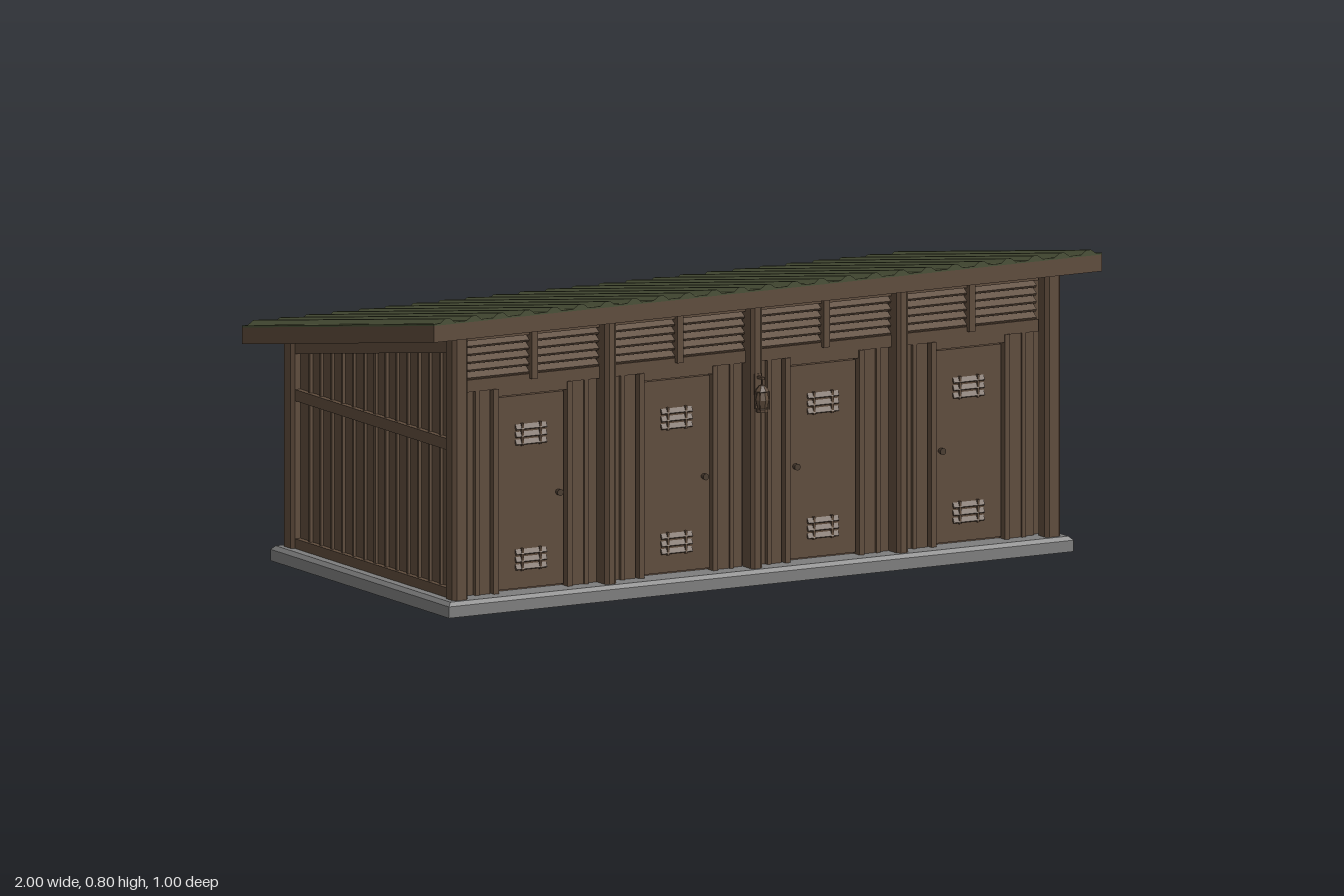
import * as THREE from 'three';

const SLOPE = 0.168;
const under = (z) => 0.656 + SLOPE * z; // height of the roof underside

export function createModel() {
  const model = new THREE.Group();
  model.name = 'washhouse';
  const mat = (name, color) => {
    const m = new THREE.MeshStandardMaterial({ color });
    m.name = name;
    return m;
  };
  const wood = mat('brown wood', 0x5f4c3c);
  const green = mat('green roofing', 0x4a5037);
  const concrete = mat('grey concrete', 0x7e7e7e);
  const iron = mat('dark iron', 0x4a3c30);

  const add = (name, geo, material, x = 0, y = 0, z = 0, parent = model) => {
    const m = new THREE.Mesh(geo, material);
    m.name = name;
    m.position.set(x, y, z);
    parent.add(m);
    return m;
  };
  // box given by its lower and upper corners
  const box = (name, x0, x1, y0, y1, z0, z1, material = wood, parent = model) =>
    add(name, new THREE.BoxGeometry(x1 - x0, y1 - y0, z1 - z0), material,
      (x0 + x1) / 2, (y0 + y1) / 2, (z0 + z1) / 2, parent);
  // shift vertices so y follows the roof pitch
  const shear = (geo) => {
    const p = geo.attributes.position;
    for (let i = 0; i < p.count; i++) p.setY(i, p.getY(i) + SLOPE * p.getZ(i));
    geo.computeVertexNormals();
    return geo;
  };
  const shapeOf = (pts) => new THREE.Shape(pts.map(([x, y]) => new THREE.Vector2(x, y)));
  const extrude = (pts, depth) =>
    new THREE.ExtrudeGeometry(shapeOf(pts), { depth, bevelEnabled: false });

  // Foundation with a small chamfered lip
  box('foundation', -0.935, 0.935, 0, 0.03, -0.465, 0.465, concrete);
  const lip = new THREE.BoxGeometry(1.87, 0.01, 0.93);
  const lp = lip.attributes.position;
  for (let i = 0; i < lp.count; i++) {
    if (lp.getY(i) > 0) {
      lp.setX(i, lp.getX(i) - Math.sign(lp.getX(i)) * 0.01);
      lp.setZ(i, lp.getZ(i) - Math.sign(lp.getZ(i)) * 0.01);
    }
  }
  lip.computeVertexNormals();
  add('foundationLip', lip, concrete, 0, 0.035, 0);

  // Wall core: side profile extruded along x
  const core = extrude([[-0.385, 0.035], [0.425, 0.035], [0.425, under(-0.425) + 0.01],
    [-0.385, under(0.385) + 0.01]], 1.77);
  core.rotateY(Math.PI / 2);
  add('wallCore', core, wood, -0.885, 0, 0);

  // Roof deck and corrugated sheet
  add('roofDeck', shear(new THREE.BoxGeometry(2, 0.044, 1)), wood, 0, 0.678, 0);
  const pts = [[-1, 0.7], [1, 0.7], [1, 0.705]];
  for (let i = 24; i >= 0; i--) {
    const x = -0.96 + i * 0.08;
    pts.push([x + 0.022, 0.705], [x + 0.007, 0.716], [x - 0.007, 0.716], [x - 0.022, 0.705]);
  }
  pts.push([-1, 0.705]);
  const sheet = extrude(pts, 1);
  sheet.translate(0, 0, -0.5);
  add('roofSheet', shear(sheet), green);

  // Chamfered posts
  const post = (name, x, z, w, d) => {
    const a = w / 2, b = d / 2, c = 0.009;
    const g = extrude([[-a + c, -b], [a - c, -b], [a, -b + c], [a, b - c],
      [a - c, b], [-a + c, b], [-a, b - c], [-a, -b + c]], under(z) - 0.03);
    g.rotateX(-Math.PI / 2);
    add(name, g, wood, x, 0.038, z);
  };
  for (const s of [-1, 1]) {
    post('frontCornerPost', s * 0.887, 0.422, 0.046, 0.05);
    post('backCornerPost', s * 0.887, -0.421, 0.046, 0.052);
  }
  for (const x of [-0.437, 0, 0.437]) post('frontPost', x, 0.417, 0.034, 0.06);

  // Side walls: battens and rails
  for (const s of [-1, 1]) {
    const side = new THREE.Group();
    side.name = s > 0 ? 'leftSide' : 'rightSide';
    model.add(side);
    const x0 = s > 0 ? 0.88 : -0.901, x1 = s > 0 ? 0.901 : -0.88;
    box('bottomRail', x0, x1, 0.038, 0.066, -0.4, 0.4, wood, side);
    box('middleRail', x0, x1, 0.43, 0.46, -0.4, 0.4, wood, side);
    add('topRail', shear(new THREE.BoxGeometry(0.021, 0.045, 0.8)), wood,
      (x0 + x1) / 2, 0.643, 0, side);
    for (let i = 0; i < 13; i++) {
      const z = 0.343 - i * 0.0565;
      box('batten', s > 0 ? 0.88 : -0.893, s > 0 ? 0.893 : -0.88, 0.05, under(z) - 0.02,
        z - 0.004, z + 0.004, wood, side);
    }
  }

  // Back wall: battens and rails
  box('backBottomRail', -0.87, 0.87, 0.038, 0.06, -0.438, -0.42);
  box('backTopRail', -0.87, 0.87, 0.55, 0.59, -0.44, -0.42);
  for (let i = 0; i < 22; i++) {
    const x = -0.83 + i * (1.66 / 21);
    box('backBatten', x - 0.006, x + 0.006, 0.05, 0.56, -0.433, -0.42);
  }

  // Small slatted vent on a door
  const vent = (x, y) => {
    for (const dy of [-0.02, 0, 0.02]) {
      const slat = box('ventSlat', x - 0.046, x + 0.046, y + dy - 0.007, y + dy + 0.007, 0.401, 0.407);
      slat.rotation.x = -0.5;
    }
    for (const dx of [-0.027, 0.027]) box('ventBar', x + dx - 0.003, x + dx + 0.003, y - 0.03, y + 0.03, 0.4, 0.409);
  };

  // Four front bays: louvres, header, planks, casing, door
  for (const cx of [-0.655, -0.219, 0.219, 0.655]) {
    box('header', cx - 0.205, cx + 0.205, 0.58, 0.612, 0.38, 0.412);
    box('topPlate', cx - 0.205, cx + 0.205, 0.715, 0.73, 0.38, 0.412);
    box('louvreStile', cx - 0.009, cx + 0.009, 0.6, 0.73, 0.38, 0.425);
    for (let i = 0; i < 5; i++) {
      const y = 0.622 + i * 0.021;
      const slat = box('louvreSlat', cx - 0.2, cx + 0.2, y - 0.0035, y + 0.0035, 0.386, 0.412);
      slat.rotation.x = 0.6;
    }
    for (const s of [-1, 1]) {
      const plank = (name, a, b, z) => box(name, cx + Math.min(s * a, s * b),
        cx + Math.max(s * a, s * b), 0.038, 0.581, 0.38, z);
      plank('casing', 0.103, 0.118, 0.416);
      plank('innerPlank', 0.123, 0.16, 0.404);
      plank('outerPlank', 0.166, 0.2, 0.398);
      plank('coverStrip', 0.157, 0.169, 0.41);
    }
    box('doorHead', cx - 0.103, cx + 0.103, 0.56, 0.581, 0.38, 0.412);
    box('door', cx - 0.1, cx + 0.1, 0.046, 0.555, 0.38, 0.401);
    vent(cx, 0.452);
    vent(cx, 0.122);
    const knob = add('doorKnob', new THREE.CylinderGeometry(0.009, 0.007, 0.016, 10), iron,
      cx - Math.sign(cx) * 0.082, 0.29, 0.408);
    knob.rotation.x = Math.PI / 2;
  }

  // Lantern on the middle post
  const lantern = new THREE.Group();
  lantern.name = 'lantern';
  lantern.position.set(0, 0, 0.469);
  model.add(lantern);
  const profile = [[0, 0.457], [0.016, 0.457], [0.016, 0.466], [0.013, 0.468], [0.019, 0.49],
    [0.014, 0.51], [0.02, 0.513], [0.008, 0.528], [0, 0.53]].map(([r, y]) => new THREE.Vector2(r, y));
  add('lanternBody', new THREE.LatheGeometry(profile, 8).toNonIndexed(), wood, 0, 0, 0, lantern)
    .geometry.computeVertexNormals();
  for (let i = 0; i < 4; i++) {
    const a = Math.PI / 4 + i * Math.PI / 2;
    box('lanternBar', -0.0015, 0.0015, 0.465, 0.513, -0.0015, 0.0015, wood, lantern)
      .position.set(Math.cos(a) * 0.019, 0.489, Math.sin(a) * 0.019);
  }
  box('lanternArm', -0.004, 0.004, 0.543, 0.55, -0.025, 0.006, wood, lantern);
  box('lanternHanger', -0.002, 0.002, 0.525, 0.545, -0.002, 0.002, wood, lantern);
  box('lanternPlate', -0.01, 0.01, 0.5, 0.555, -0.025, -0.02, wood, lantern);

  // Wash trough on the left side
  const trough = new THREE.Group();
  trough.name = 'washTrough';
  model.add(trough);
  const part = (name, ...c) => box(name, ...c, wood, trough);
  part('backboard', 0.885, 0.912, 0.2, 0.31, -0.105, 0.283);
  part('troughFloor', 0.905, 0.98, 0.172, 0.184, -0.112, 0.288);
  part('troughFront', 0.968, 0.98, 0.172, 0.22, -0.112, 0.288);
  part('troughBack', 0.905, 0.917, 0.172, 0.22, -0.112, 0.288);
  part('troughEnd', 0.905, 0.98, 0.172, 0.22, -0.112, -0.1);
  part('troughEnd', 0.905, 0.98, 0.172, 0.22, 0.276, 0.288);
  for (const z of [0.235, -0.055]) {
    const brace = extrude([[0.885, 0.09], [0.905, 0.09], [0.963, 0.172], [0.935, 0.172], [0.905, 0.13], [0.885, 0.125]], 0.018);
    add('brace', brace, wood, 0, 0, z - 0.009, trough);
  }
  for (const z of [0.177, 0.002]) {
    box('tapPipe', 0.91, 0.934, 0.264, 0.271, z - 0.004, z + 0.004, iron, trough);
    box('tapSpout', 0.927, 0.934, 0.245, 0.27, z - 0.0035, z + 0.0035, iron, trough);
    box('tapStem', 0.917, 0.922, 0.268, 0.287, z - 0.0025, z + 0.0025, iron, trough);
    box('tapHandle', 0.916, 0.923, 0.285, 0.29, z - 0.012, z + 0.012, iron, trough);
  }
  return model;
}
